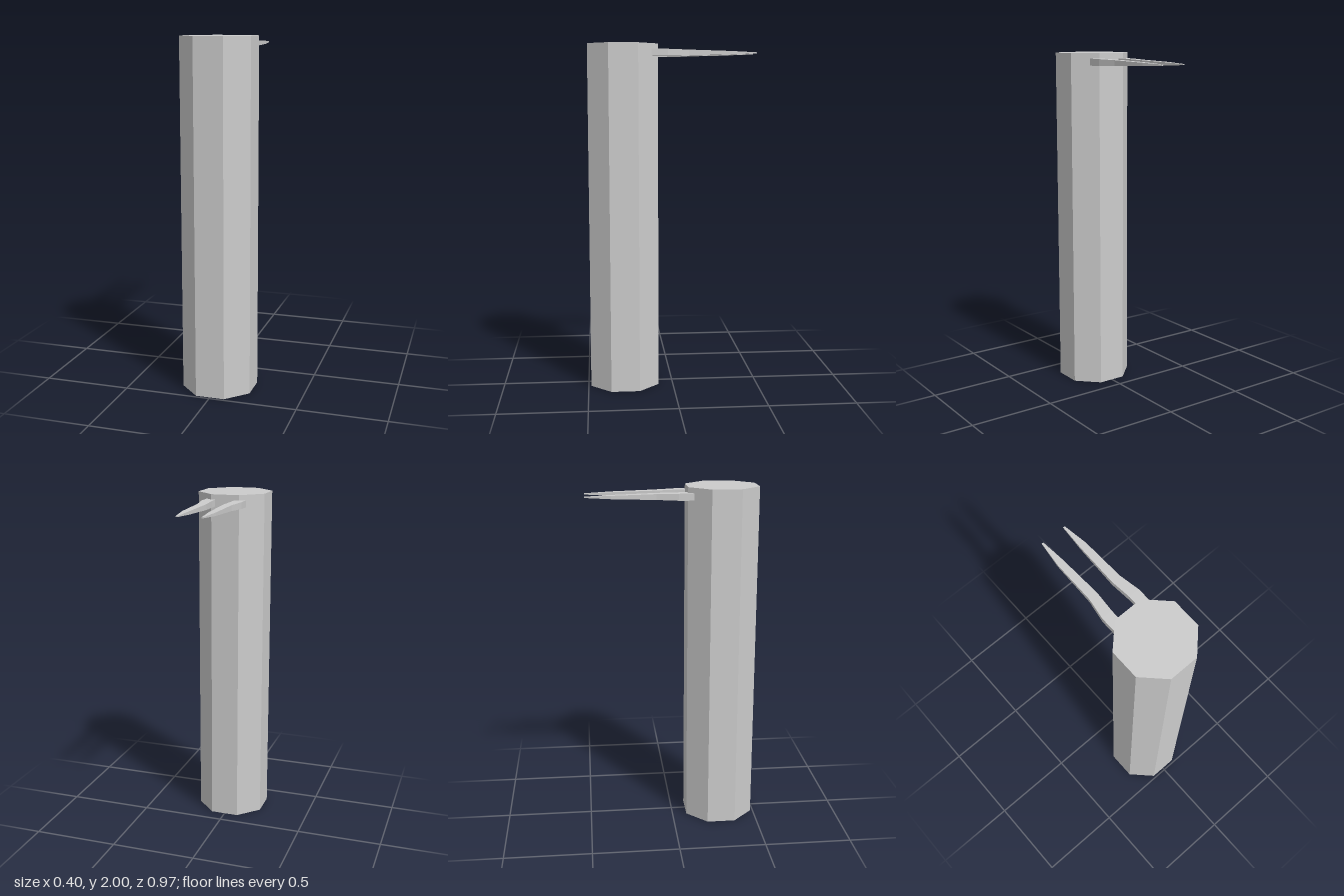
import * as THREE from 'three';

const material = new THREE.MeshStandardMaterial({ color: 0xcccccc, flatShading: true });

// Prong cross-sections from root to tip: z, inner x, outer x, half height
const STATIONS = [
  [0.125, 0.0565, 0.1185, 0.02],
  [0.03, 0.0565, 0.1185, 0.019],
  [-0.09, 0.0465, 0.0985, 0.016],
  [-0.34, 0.0545, 0.0935, 0.009],
  [-0.485, 0.065, 0.075, 0.003],
];
const PRONG_Y = 1.95;
const PRONG_MID_X = 0.0035;

// A box whose depth rings are moved onto the cross-sections
function createProng(side) {
  const rings = STATIONS.length - 1;
  const box = new THREE.BoxGeometry(1, 1, 1, 1, 1, rings);
  const pos = box.attributes.position;
  for (let i = 0; i < pos.count; i++) {
    const [z, inner, outer, half] = STATIONS[Math.round((0.5 - pos.getZ(i)) * rings)];
    const x = pos.getX(i) * side > 0 ? outer : inner;
    pos.setXYZ(i, PRONG_MID_X + side * x, PRONG_Y + Math.sign(pos.getY(i)) * half, z);
  }
  const geometry = box.toNonIndexed();
  geometry.computeVertexNormals();
  const prong = new THREE.Mesh(geometry, material);
  prong.name = side > 0 ? 'leftProng' : 'rightProng';
  return prong;
}

export function createModel() {
  const model = new THREE.Group();
  model.name = 'prongedPost';

  // Octagonal post with flats facing front, back and sides
  const radius = 0.2 / Math.cos(Math.PI / 8);
  const postGeometry = new THREE.CylinderGeometry(radius, radius, 2, 8);
  postGeometry.rotateY(Math.PI / 8);
  const post = new THREE.Mesh(postGeometry, material);
  post.name = 'post';
  post.position.set(0, 1, 0.285);
  model.add(post);

  // Pair of tapering prongs reaching backwards near the top
  for (const side of [1, -1]) model.add(createProng(side));

  return model;
}
